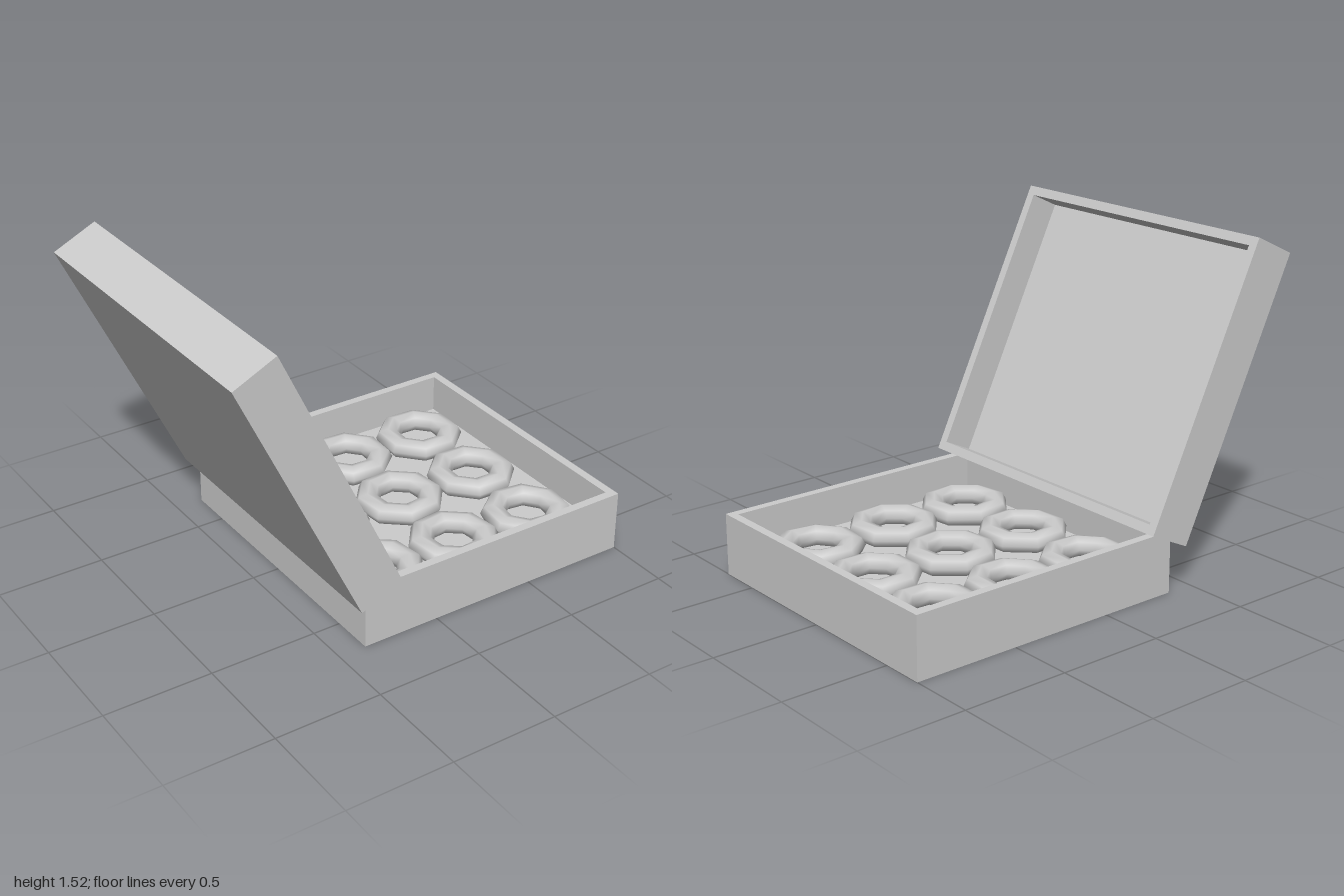
import * as THREE from 'three';

const cardboard = new THREE.MeshStandardMaterial({ color: 0xcccccc });
cardboard.name = 'pale grey';

// Open tray standing on y = 0: a rim of walls around a floor slab
function openTray(name, length, width, height, wall, floor) {
  const tray = new THREE.Group();
  tray.name = name;
  const rect = (Type, l, w) => new Type([
    new THREE.Vector2(-l / 2, -w / 2), new THREE.Vector2(l / 2, -w / 2),
    new THREE.Vector2(l / 2, w / 2), new THREE.Vector2(-l / 2, w / 2),
  ]);
  const outline = rect(THREE.Shape, length, width);
  outline.holes.push(rect(THREE.Path, length - 2 * wall, width - 2 * wall));
  const wallGeometry = new THREE.ExtrudeGeometry(outline, { depth: height, bevelEnabled: false });
  wallGeometry.rotateX(-Math.PI / 2);
  const walls = new THREE.Mesh(wallGeometry, cardboard);
  walls.name = name + 'Walls';

  const floorGeometry = new THREE.BoxGeometry(length - 2 * wall, floor, width - 2 * wall);
  floorGeometry.translate(0, floor / 2, 0);
  const slab = new THREE.Mesh(floorGeometry, cardboard);
  slab.name = name + 'Floor';
  tray.add(walls, slab);
  return tray;
}

export function createModel() {
  const model = new THREE.Group();
  model.name = 'doughnutBox';

  // Box base
  const base = openTray('base', 1.37, 1.396, 0.287, 0.04, 0.105);
  base.position.set(0.315, 0, 0);
  model.add(base);

  // Lid, tipped back on its hinge side
  const lid = openTray('lid', 1.342, 1.49, 0.22, 0.042, 0.068);
  lid.position.set(-0.709, 0.824, 0);
  lid.rotation.z = THREE.MathUtils.degToRad(-64.4);
  model.add(lid);

  // Flattened eight-sided rings in a 3 x 3 grid, each turned a little
  const ring = new THREE.TorusGeometry(0.152, 0.06, 8, 8);
  ring.rotateX(Math.PI / 2);
  ring.rotateY(Math.PI / 8);
  ring.scale(1, 0.78, 1);
  const turns = [-4, -4, -3, 2, 5, -2, 7, 6, -8];
  turns.forEach((turn, i) => {
    const doughnut = new THREE.Mesh(ring, cardboard);
    doughnut.name = 'doughnut' + (i + 1);
    doughnut.position.set(-0.118 + (i % 3) * 0.413, 0.142, -0.432 + Math.floor(i / 3) * 0.423);
    doughnut.rotation.y = THREE.MathUtils.degToRad(turn);
    model.add(doughnut);
  });

  return model;
}
